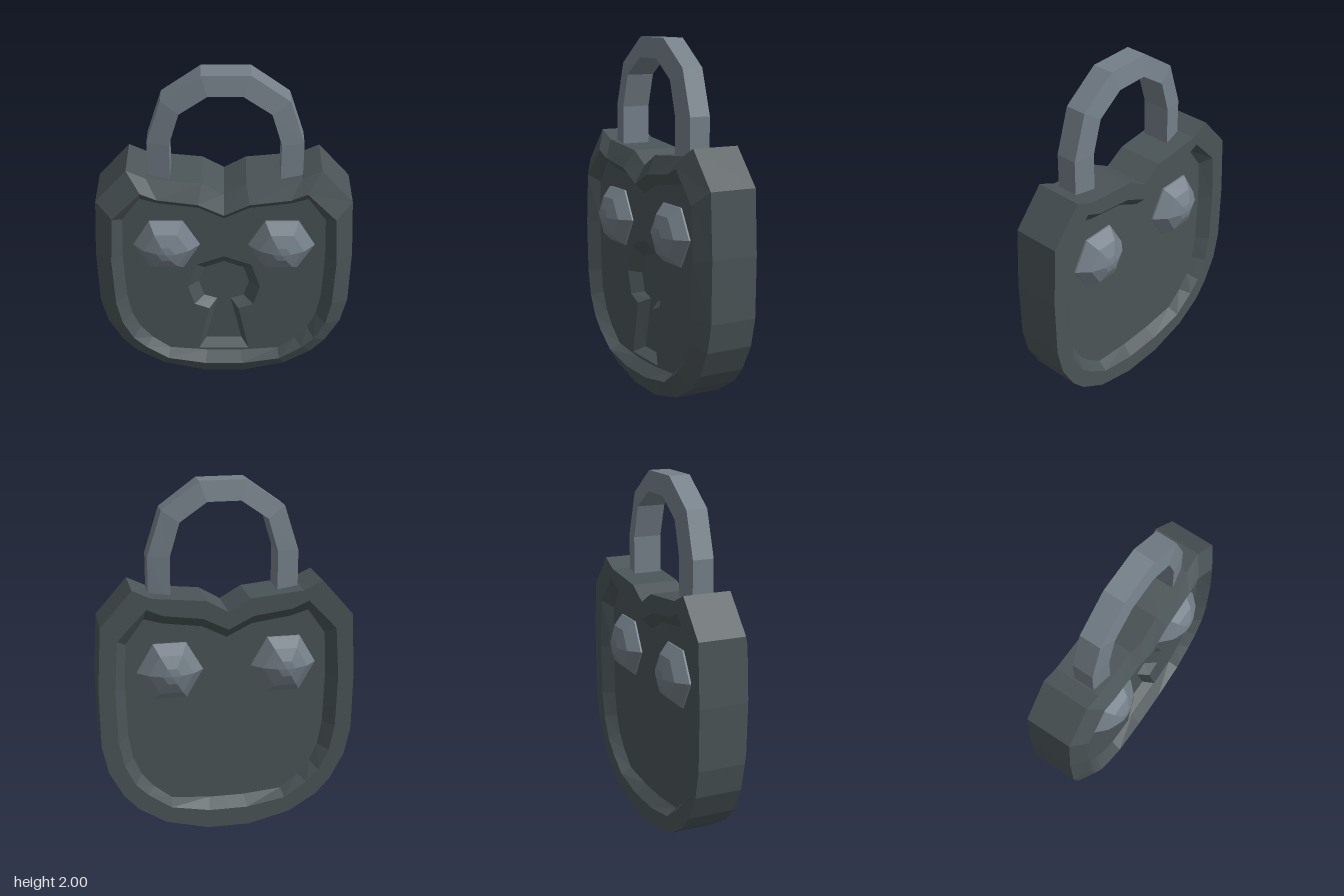
import * as THREE from 'three';

const V2 = (p) => new THREE.Vector2(p[0], p[1]);

// Full clockwise loop from its right half, listed from top to bottom
const mirror = (half) => [
  ...half,
  ...half.filter((p) => p[0] !== 0).reverse().map(([x, y]) => [-x, y]),
];

// Skin a sequence of [loop, z] rings; closed also joins the last ring to the first
function skin(rings) {
  const pos = [];
  for (let r = 0; r < rings.length - 1; r++) {
    const [a, za] = rings[r], [b, zb] = rings[r + 1];
    for (let i = 0; i < a.length; i++) {
      const j = (i + 1) % a.length;
      pos.push(...a[i], za, ...b[i], zb, ...a[j], za);
      pos.push(...a[j], za, ...b[i], zb, ...b[j], zb);
    }
  }
  const g = new THREE.BufferGeometry();
  g.setAttribute('position', new THREE.Float32BufferAttribute(pos, 3));
  g.computeVertexNormals();
  return g;
}

function plate(loop, z, hole) {
  const s = new THREE.Shape(loop.map(V2));
  if (hole) s.holes.push(new THREE.Path(hole.map(V2)));
  return new THREE.ShapeGeometry(s).translate(0, 0, z);
}

export function createModel() {
  const root = new THREE.Group();
  const iron = new THREE.MeshStandardMaterial({ color: 0x4b5457, flatShading: true });
  const steel = new THREE.MeshStandardMaterial({ color: 0x747f88, flatShading: true });
  iron.name = 'dark iron';
  steel.name = 'light steel';

  const add = (name, geo, mat, parent = root) => {
    const m = new THREE.Mesh(geo, mat);
    m.name = name;
    parent.add(m);
    return m;
  };

  // Outlines of the case: outer edge, rim crest and recessed panel
  const outer = mirror([[0, 1.3], [0.12, 1.37], [0.42, 1.4], [0.525, 1.45], [0.7, 1.25], [0.72, 0.9],
    [0.715, 0.56], [0.68, 0.4], [0.6, 0.25], [0.52, 0.16], [0.36, 0.06], [0.12, 0]]);
  const crest = mirror([[0, 1.2], [0.14, 1.27], [0.36, 1.3], [0.45, 1.34], [0.61, 1.17], [0.63, 0.88],
    [0.62, 0.58], [0.59, 0.43], [0.53, 0.31], [0.46, 0.24], [0.33, 0.15], [0.11, 0.11]]);
  const panel = mirror([[0, 1.14], [0.14, 1.21], [0.36, 1.24], [0.46, 1.27], [0.56, 1.13], [0.57, 0.88],
    [0.56, 0.59], [0.535, 0.45], [0.49, 0.35], [0.42, 0.265], [0.32, 0.185], [0.1, 0.165]]);
  const P = 0.105;

  const body = new THREE.Group();
  body.name = 'lockBody';
  root.add(body);
  add('case', skin([[panel, -P], [crest, -0.165], [outer, -0.165], [outer, 0.105], [crest, 0.165], [panel, P]]), iron, body);

  // Keyhole sunk into the front panel with sloping walls
  const keyOuter = mirror([[0, 0.875], [0.155, 0.815], [0.207, 0.655], [0.17, 0.525], [0.085, 0.49], [0.148, 0.18]]);
  const keyInner = mirror([[0, 0.795], [0.113, 0.75], [0.145, 0.65], [0.115, 0.545], [0.04, 0.52], [0.105, 0.215]]);
  add('frontPanel', plate(panel, P, keyOuter), iron, body);
  add('backPanel', plate(panel, -P).translate(0, 0, P * 2).rotateY(Math.PI), iron, body).position.z = 0;
  add('keyholeWalls', skin([[keyOuter, P], [keyInner, 0.045]]), iron, body);
  add('keyholeFloor', plate(keyInner, 0.045), iron, body);

  // Shackle: a bent bar whose section is wider on its inner side
  const arcOuter = [[-0.41, 1.3], [-0.41, 1.6], [-0.33, 1.85], [-0.12, 2], [0.14, 2], [0.345, 1.85], [0.425, 1.6], [0.425, 1.3]];
  const arcInner = [[-0.29, 1.3], [-0.29, 1.6], [-0.235, 1.785], [-0.085, 1.89], [0.1, 1.89], [0.25, 1.785], [0.305, 1.6], [0.305, 1.3]];
  add('shackle', skin([[arcOuter, -0.055], [arcOuter, 0.065], [arcInner, 0.087], [arcInner, -0.077], [arcOuter, -0.055]]), steel);

  // Six-sided domed rivets, two on each face
  const dome = new THREE.LatheGeometry(
    [[0.185, 0.07], [0.185, 0.115], [0.125, 0.175], [0.05, 0.207], [0, 0.215]].map(V2), 6, Math.PI / 2).rotateX(Math.PI / 2);
  for (const face of [1, -1]) {
    for (const side of [1, -1]) {
      const rivet = add(face > 0 ? 'frontRivet' : 'backRivet', dome, steel);
      rivet.position.set(side * 0.32, 0.965, 0);
      if (face < 0) rivet.rotation.y = Math.PI;
    }
  }
  return root;
}
